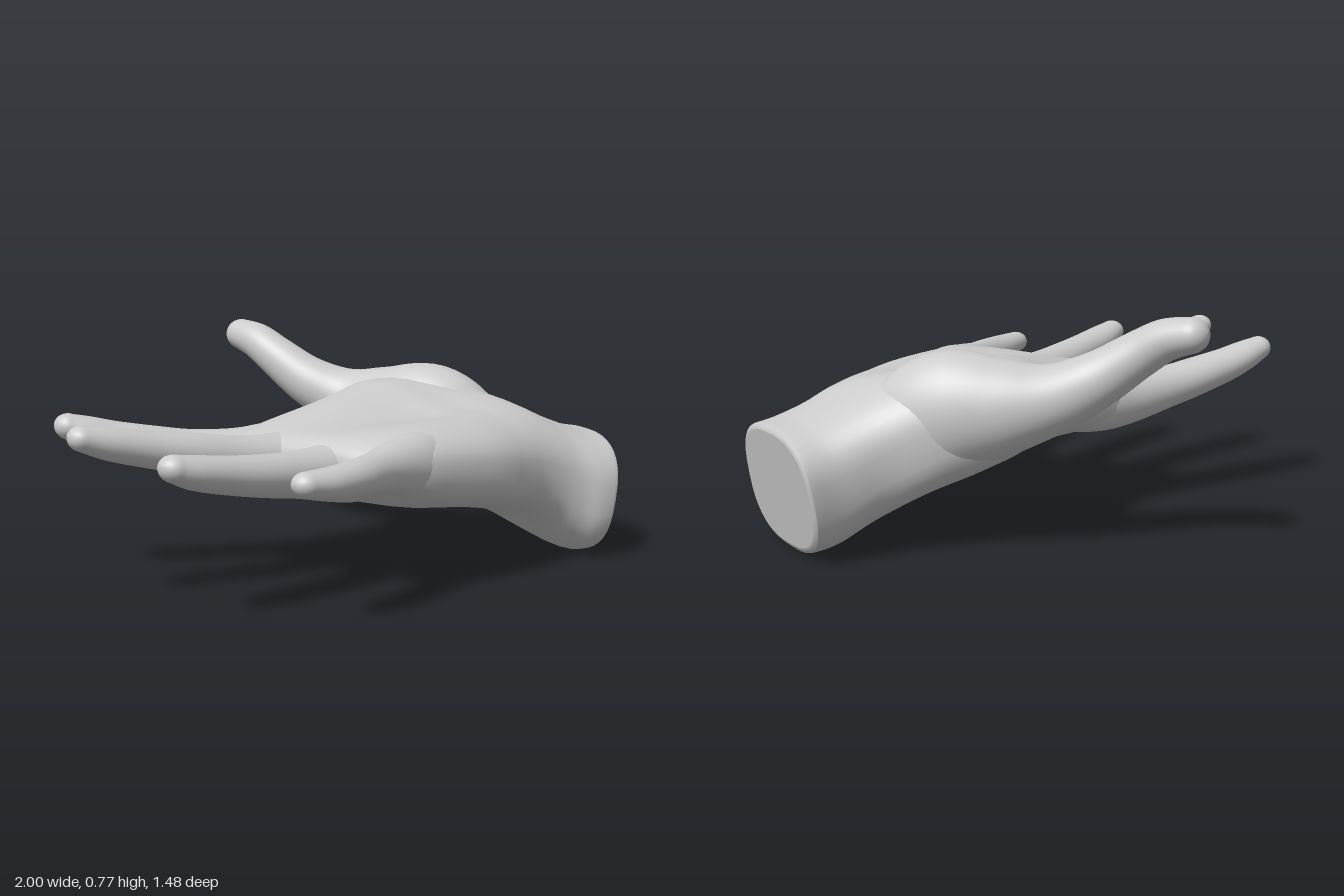
import * as THREE from 'three';

const SIDES = 40;
const material = new THREE.MeshStandardMaterial({ color: 0xcccccc });

// Smoothly resample rows of numbers (Catmull-Rom on every column).
function resample(rows, steps) {
  const out = [];
  const row = (i) => rows[Math.min(Math.max(i, 0), rows.length - 1)];
  for (let i = 0; i < rows.length - 1; i++) {
    for (let s = 0; s < steps; s++) {
      const t = s / steps;
      out.push(rows[i].map((b, k) => {
        const a = row(i - 1)[k], c = row(i + 1)[k], d = row(i + 2)[k];
        return b + 0.5 * t * (c - a + t * (2 * a - 5 * b + 4 * c - d + t * (3 * (b - c) + d - a)));
      }));
    }
  }
  out.push(rows[rows.length - 1]);
  return out;
}

const centreOf = (ring) =>
  ring.reduce((sum, p) => sum.add(p), new THREE.Vector3()).divideScalar(ring.length);

// Skin a list of rings into one smooth surface, with optional end fans.
function skin(name, rings, closeStart, closeEnd) {
  const points = rings.flat();
  const index = [];
  const at = (i, j) => i * SIDES + (j % SIDES);
  for (let i = 0; i < rings.length - 1; i++) {
    for (let j = 0; j < SIDES; j++) {
      const a = at(i, j), b = at(i, j + 1), c = at(i + 1, j), d = at(i + 1, j + 1);
      index.push(a, c, b, b, c, d);
    }
  }
  const last = rings.length - 1;
  if (closeStart) {
    const s = points.push(centreOf(rings[0])) - 1;
    for (let j = 0; j < SIDES; j++) index.push(s, at(0, j), at(0, j + 1));
  }
  if (closeEnd) {
    const e = points.push(centreOf(rings[last])) - 1;
    for (let j = 0; j < SIDES; j++) index.push(e, at(last, j + 1), at(last, j));
  }
  const geometry = new THREE.BufferGeometry().setFromPoints(points);
  geometry.setIndex(index);
  geometry.computeVertexNormals();
  const mesh = new THREE.Mesh(geometry, material);
  mesh.name = name;
  return mesh;
}

// A finger: elliptical rings along a path of [x, y, z, halfWidth, halfHeight], with a round tip.
function finger(name, stations) {
  const rows = resample(stations, 6);
  const centres = rows.map((r) => new THREE.Vector3(r[0], r[1], r[2]));
  const up = new THREE.Vector3(0, 1, 0);
  const ringAt = (centre, tangent, w, h) => {
    const side = tangent.clone().cross(up).normalize();
    const top = side.clone().cross(tangent);
    return Array.from({ length: SIDES }, (_, j) => {
      const a = (j / SIDES) * Math.PI * 2;
      return centre.clone()
        .addScaledVector(side, w * Math.cos(a))
        .addScaledVector(top, h * Math.sin(a));
    });
  };
  const n = rows.length - 1;
  const tangentAt = (i) =>
    centres[Math.min(i + 1, n)].clone().sub(centres[Math.max(i - 1, 0)]).normalize();
  const rings = rows.map((r, i) => ringAt(centres[i], tangentAt(i), r[3], r[4]));
  const [w, h] = rows[n].slice(3);
  const tangent = tangentAt(n);
  for (let k = 1; k <= 7; k++) {
    const a = (k / 7.3) * Math.PI / 2;
    const centre = centres[n].clone().addScaledVector(tangent, w * Math.sin(a));
    rings.push(ringAt(centre, tangent, w * Math.cos(a), h * Math.cos(a)));
  }
  return skin(name, rings, false, true);
}

// Palm and wrist: rounded-box rings that lean with the knuckle line and the cut.
// [x, zThumbSide, zLittleSide, yThumbSide, yLittleSide, halfHeight, cup, lean]
const palmStations = [
  [-0.262, -0.09, 0.55, 0.385, 0.42, 0.02, 0, -0.5],
  [-0.25, -0.12, 0.57, 0.385, 0.42, 0.055, 0, -0.5],
  [-0.22, -0.155, 0.595, 0.385, 0.42, 0.085, 0, -0.45],
  [-0.17, -0.18, 0.615, 0.385, 0.42, 0.11, 0.01, -0.3],
  [-0.09, -0.175, 0.635, 0.40, 0.41, 0.135, 0.03, -0.1],
  [0.02, -0.165, 0.64, 0.42, 0.395, 0.155, 0.05, 0],
  [0.2, -0.19, 0.635, 0.45, 0.375, 0.168, 0.06, 0],
  [0.3, -0.23, 0.625, 0.46, 0.36, 0.178, 0.05, 0],
  [0.4, -0.24, 0.605, 0.455, 0.345, 0.187, 0.04, 0],
  [0.5, -0.2, 0.59, 0.435, 0.325, 0.196, 0.02, 0],
  [0.6, -0.1, 0.59, 0.395, 0.285, 0.205, 0, 0.1],
  [0.7, 0.035, 0.605, 0.31, 0.24, 0.208, 0, 0.4],
  [0.8, 0.105, 0.63, 0.24, 0.215, 0.21, 0, 0.75],
  [0.88, 0.135, 0.64, 0.22, 0.21, 0.206, 0, 1],
  [0.895, 0.142, 0.634, 0.22, 0.21, 0.2, 0, 1],
  [0.902, 0.155, 0.622, 0.22, 0.21, 0.188, 0, 1],
];

function palmRing([x, z0, z1, y0, y1, h, cup, lean]) {
  const soft = (v) => Math.sign(v) * Math.abs(v) ** 0.76;
  return Array.from({ length: SIDES }, (_, j) => {
    const a = (j / SIDES) * Math.PI * 2;
    const u = (soft(Math.cos(a)) + 1) / 2;
    const z = z0 + (z1 - z0) * u;
    const hollow = cup * Math.exp(-(((z - 0.27) / 0.16) ** 2)) * Math.max(0, Math.sin(a));
    const y = y0 + (y1 - y0) * u + h * soft(Math.sin(a)) - hollow;
    return new THREE.Vector3(x + lean * (0.2 * (y - 0.21) - 0.35 * (z - 0.39)), y, z);
  });
}

// Each path runs from inside the palm to the fingertip.
const fingers = {
  indexFinger: [
    [0.02, 0.40, -0.03, 0.09, 0.1], [-0.14, 0.385, -0.075, 0.1, 0.105],
    [-0.26, 0.385, -0.117, 0.092, 0.092], [-0.4, 0.405, -0.175, 0.076, 0.075],
    [-0.52, 0.43, -0.22, 0.076, 0.068], [-0.64, 0.46, -0.268, 0.069, 0.06],
    [-0.72, 0.487, -0.3, 0.062, 0.053], [-0.775, 0.508, -0.322, 0.05, 0.043],
  ],
  middleFinger: [
    [0.0, 0.40, 0.13, 0.09, 0.1], [-0.16, 0.39, 0.13, 0.105, 0.11],
    [-0.28, 0.4, 0.122, 0.092, 0.092], [-0.42, 0.422, 0.112, 0.079, 0.074],
    [-0.57, 0.45, 0.099, 0.074, 0.067], [-0.72, 0.478, 0.08, 0.065, 0.059],
    [-0.86, 0.508, 0.06, 0.06, 0.052], [-0.952, 0.532, 0.048, 0.048, 0.04],
  ],
  ringFinger: [
    [0.02, 0.40, 0.33, 0.09, 0.1], [-0.14, 0.39, 0.34, 0.105, 0.108],
    [-0.25, 0.39, 0.35, 0.096, 0.092], [-0.38, 0.402, 0.368, 0.08, 0.075],
    [-0.53, 0.418, 0.387, 0.074, 0.066], [-0.67, 0.438, 0.4, 0.067, 0.059],
    [-0.8, 0.462, 0.408, 0.063, 0.052], [-0.872, 0.482, 0.411, 0.05, 0.042],
  ],
  littleFinger: [
    [0.1, 0.4, 0.51, 0.09, 0.1], [-0.06, 0.415, 0.538, 0.095, 0.105],
    [-0.18, 0.427, 0.571, 0.08, 0.082], [-0.28, 0.43, 0.608, 0.064, 0.066],
    [-0.4, 0.433, 0.653, 0.06, 0.056], [-0.52, 0.437, 0.68, 0.057, 0.048],
    [-0.615, 0.446, 0.69, 0.045, 0.038],
  ],
  // The thumb starts as the broad pad beside the wrist.
  thumb: [
    [0.67, 0.3, 0.25, 0.08, 0.1], [0.6, 0.38, 0.13, 0.13, 0.17],
    [0.525, 0.45, 0.0, 0.158, 0.196], [0.445, 0.475, -0.16, 0.14, 0.155],
    [0.375, 0.505, -0.29, 0.108, 0.112], [0.295, 0.565, -0.4, 0.088, 0.09],
    [0.24, 0.645, -0.51, 0.075, 0.075], [0.215, 0.7, -0.6, 0.068, 0.066],
    [0.204, 0.722, -0.685, 0.059, 0.056],
  ],
};

export function createModel() {
  const hand = new THREE.Group();
  hand.name = 'openHand';

  const rings = resample(palmStations, 5).map(palmRing);
  hand.add(skin('palmAndWrist', rings, true, false));

  // Flat cut across the wrist
  const rim = rings[rings.length - 1];
  const centre = centreOf(rim);
  const inner = rim.map((p) => p.clone().lerp(centre, 0.5));
  hand.add(skin('wristCut', [rim, inner], false, true));

  for (const [name, stations] of Object.entries(fingers)) hand.add(finger(name, stations));
  return hand;
}
